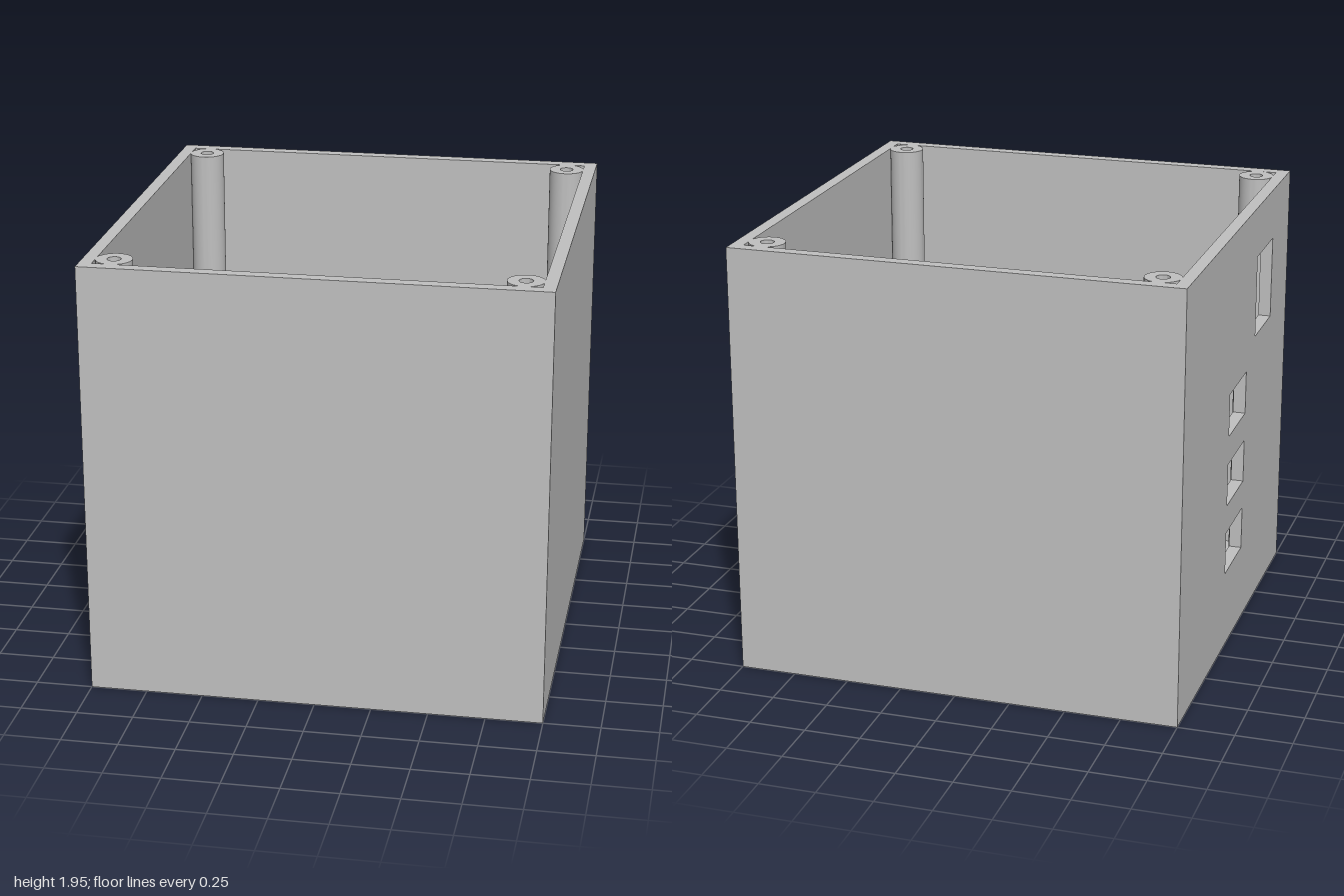
import * as THREE from 'three';
import { toCreasedNormals } from 'three/addons/utils/BufferGeometryUtils.js';

const H = 1.945; // overall height
const T = 0.056; // wall and floor thickness
const IN = 1 - T; // inner half width

// Rectangle given by its limits
function rect(Kind, x0, x1, y0, y1) {
  return new Kind([[x0, y0], [x1, y0], [x1, y1], [x0, y1]].map(([x, y]) => new THREE.Vector2(x, y)));
}

// Circular hole
function circle(x, y, r) {
  const path = new THREE.Path();
  path.absarc(x, y, r, 0, Math.PI * 2, true);
  return path;
}

// Extruded plate with crisp edges and smooth round holes
function extrude(shape, depth) {
  const geo = new THREE.ExtrudeGeometry(shape, { depth, bevelEnabled: false, curveSegments: 32 });
  return toCreasedNormals(geo, Math.PI / 6);
}

export function createModel() {
  const group = new THREE.Group();
  const grey = new THREE.MeshStandardMaterial({ color: 0xc0c0c0 });
  grey.name = 'grey plastic';

  function add(name, geometry, x, y, z) {
    const mesh = new THREE.Mesh(geometry, grey);
    mesh.name = name;
    mesh.position.set(x, y, z);
    group.add(mesh);
  }

  // Floor with a central opening and four mounting holes
  const floor = rect(THREE.Shape, -1, 1, -1, 1);
  floor.holes.push(circle(0, 0, 0.158));
  for (const x of [-0.362, 0.362]) {
    for (const y of [-0.362, 0.362]) floor.holes.push(circle(x, y, 0.029));
  }
  add('floor', extrude(floor, T).rotateX(-Math.PI / 2), 0, 0, 0);

  // Plain walls
  const wallH = H - T;
  const midY = T + wallH / 2;
  add('frontWall', new THREE.BoxGeometry(2, wallH, T), 0, midY, 1 - T / 2);
  add('backWall', new THREE.BoxGeometry(2, wallH, T), 0, midY, -1 + T / 2);
  add('leftWall', new THREE.BoxGeometry(T, wallH, 2 * IN), 1 - T / 2, midY, 0);

  // Right wall with one tall window and a column of three small ones
  const side = rect(THREE.Shape, -IN, IN, T, H);
  side.holes.push(rect(THREE.Path, 0.33, 0.65, 1.335, 1.71));
  for (let i = 0; i < 3; i++) {
    const y = 0.362 + i * 0.329;
    side.holes.push(rect(THREE.Path, -0.155, 0.165, y, y + 0.197));
  }
  add('rightWall', extrude(side, T).rotateY(-Math.PI / 2), -IN, 0, 0);

  // Hollow screw posts in the corners, flush with the rim
  const ring = new THREE.Shape();
  ring.absarc(0, 0, 0.079, 0, Math.PI * 2, false);
  ring.holes.push(circle(0, 0, 0.03));
  const post = extrude(ring, wallH).rotateX(-Math.PI / 2);
  for (const x of [-0.867, 0.867]) {
    for (const z of [-0.867, 0.867]) add('screwPost', post, x, T, z);
  }
  return group;
}
